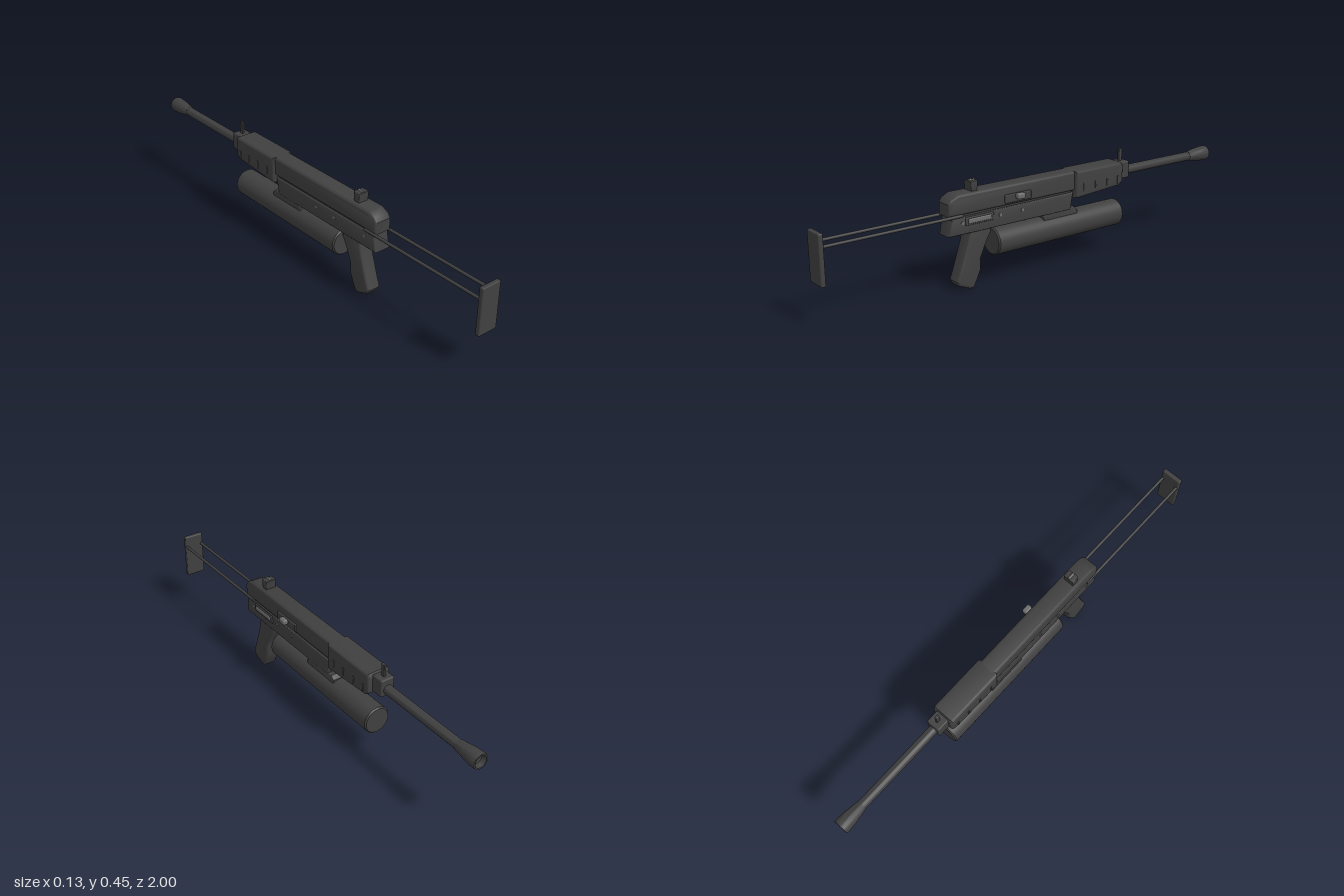
import * as THREE from 'three';
import { toCreasedNormals } from 'three/addons/utils/BufferGeometryUtils.js';
import { RoundedBoxGeometry } from 'three/addons/geometries/RoundedBoxGeometry.js';

const CX = -0.008; // centre plane of the body

export function createModel() {
  const model = new THREE.Group();
  const darkSteel = new THREE.MeshStandardMaterial({ color: 0x404040 });
  darkSteel.name = 'darkSteel';
  const bareMetal = new THREE.MeshStandardMaterial({ color: 0x6c6c6c });
  bareMetal.name = 'bareMetal';

  function add(name, geometry, material = darkSteel) {
    const mesh = new THREE.Mesh(geometry, material);
    mesh.name = name;
    model.add(mesh);
    return mesh;
  }

  // Side profile of [z, y] points, extruded across x with rounded edges
  function profile(name, points, width, bevel, material) {
    const shape = new THREE.Shape(points.map(([z, y]) => new THREE.Vector2(z, y)));
    const geometry = new THREE.ExtrudeGeometry(shape, {
      depth: width - 2 * bevel, bevelEnabled: true, bevelThickness: bevel,
      bevelSize: bevel, bevelOffset: -bevel, bevelSegments: 4,
    });
    geometry.translate(0, 0, -(width - 2 * bevel) / 2).rotateY(-Math.PI / 2).translate(CX, 0, 0);
    return add(name, toCreasedNormals(geometry, 0.6), material);
  }

  // Rounded box given by its centre and size
  function box(name, [x, y, z], [w, h, d], r = 0.004, material) {
    return add(name, new RoundedBoxGeometry(w, h, d, 2, r).translate(x, y, z), material);
  }

  // Turned part along z from [radius, z] points
  function turned(name, x, y, points, material) {
    const geometry = new THREE.LatheGeometry(points.map(([r, z]) => new THREE.Vector2(r, z)), 32);
    geometry.rotateX(Math.PI / 2).translate(x, y, 0);
    return add(name, toCreasedNormals(geometry, 0.6), material);
  }

  // Receiver
  profile('upperReceiver', [[0.452, 0.315], [0.452, 0.365], [0.44, 0.382], [0.408, 0.398],
    [-0.18, 0.398], [-0.18, 0.315]], 0.08, 0.012);
  profile('receiverSeam', [[0.43, 0.29], [0.43, 0.33], [-0.16, 0.33], [-0.16, 0.29]], 0.06, 0.002);
  profile('lowerReceiver', [[0.452, 0.235], [0.438, 0.308], [-0.169, 0.308], [-0.155, 0.235]],
    0.074, 0.006);

  // Handguard with raised vents on both sides
  profile('handguard', [[-0.172, 0.284], [-0.172, 0.398], [-0.43, 0.398], [-0.438, 0.385],
    [-0.438, 0.315], [-0.418, 0.298], [-0.19, 0.282]], 0.103, 0.012);
  for (const z of [-0.215, -0.28, -0.345, -0.405]) {
    for (const side of [-1, 1]) {
      box('handguardVent', [CX + side * 0.05, 0.327, z], [0.008, 0.034, 0.009], 0.002);
    }
  }

  // Front sight, barrel and flared muzzle
  box('frontSightBlock', [CX, 0.356, -0.462], [0.062, 0.075, 0.058], 0.006);
  box('frontSightPost', [CX, 0.418, -0.462], [0.011, 0.058, 0.018], 0.003);
  turned('barrel', CX, 0.347, [[0, -0.9], [0.02, -0.9], [0.02, -0.45], [0, -0.45]]);
  turned('muzzle', CX, 0.347, [[0, -0.975], [0.022, -0.98], [0.026, -1], [0.032, -1],
    [0.034, -0.99], [0.031, -0.95], [0.023, -0.895], [0.021, -0.885], [0, -0.885]]);

  // Rear sight
  profile('rearSight', [[0.337, 0.39], [0.34, 0.437], [0.305, 0.437], [0.31, 0.39]], 0.048, 0.003);
  turned('rearSightDrum', CX, 0.434, [[0, 0.308], [0.007, 0.308], [0.007, 0.337], [0, 0.337]], bareMetal);

  // Bolt cover and charging handle on the model's left
  box('boltCover', [0.034, 0.343, 0.125], [0.01, 0.036, 0.13], 0.004);
  box('chargingHandleStem', [0.04, 0.351, 0.125], [0.02, 0.014, 0.02], 0.003, bareMetal);
  box('chargingHandle', [0.051, 0.351, 0.125], [0.024, 0.024, 0.038], 0.007, bareMetal);

  // Selector recess and lever
  box('selectorPlate', [0.028, 0.286, 0.31], [0.01, 0.034, 0.135], 0.004);
  box('selectorLever', [0.032, 0.286, 0.31], [0.01, 0.02, 0.11], 0.0045, bareMetal);

  // Receiver pins
  for (const z of [0.39, 0.21, 0.1]) {
    const pin = new THREE.CylinderGeometry(0.007, 0.007, 0.08, 16);
    add('receiverPin', pin.rotateZ(Math.PI / 2).translate(CX, 0.283, z), bareMetal);
  }

  // Grip and trigger
  profile('grip', [[0.352, 0.245], [0.25, 0.245], [0.25, 0.218], [0.27, 0.185], [0.301, 0.118],
    [0.3, 0.075], [0.318, 0.035], [0.335, 0.002], [0.352, 0], [0.405, 0.022], [0.415, 0.04],
    [0.4, 0.08], [0.362, 0.195]], 0.066, 0.012);
  box('trigger', [CX, 0.225, 0.07], [0.014, 0.04, 0.018], 0.003);

  // Lower tube and its mounting bracket
  turned('lowerTube', CX, 0.167, [[0, -0.438], [0.053, -0.438], [0.058, -0.432],
    [0.058, 0.224], [0.053, 0.23], [0, 0.23]]);
  profile('tubeBracket', [[-0.012, 0.2], [-0.012, 0.228], [-0.03, 0.243], [-0.18, 0.243],
    [-0.195, 0.228], [-0.195, 0.2]], 0.07, 0.004);

  // Wire stock
  for (const side of [-1, 1]) {
    const rod = new THREE.CylinderGeometry(0.0065, 0.0065, 0.6, 12);
    add('stockRod', rod.rotateX(Math.PI / 2).translate(CX + side * 0.0365, 0.312, 0.69));
  }
  box('buttPlate', [CX, 0.263, 0.99], [0.089, 0.2, 0.02], 0.005);

  return model;
}
